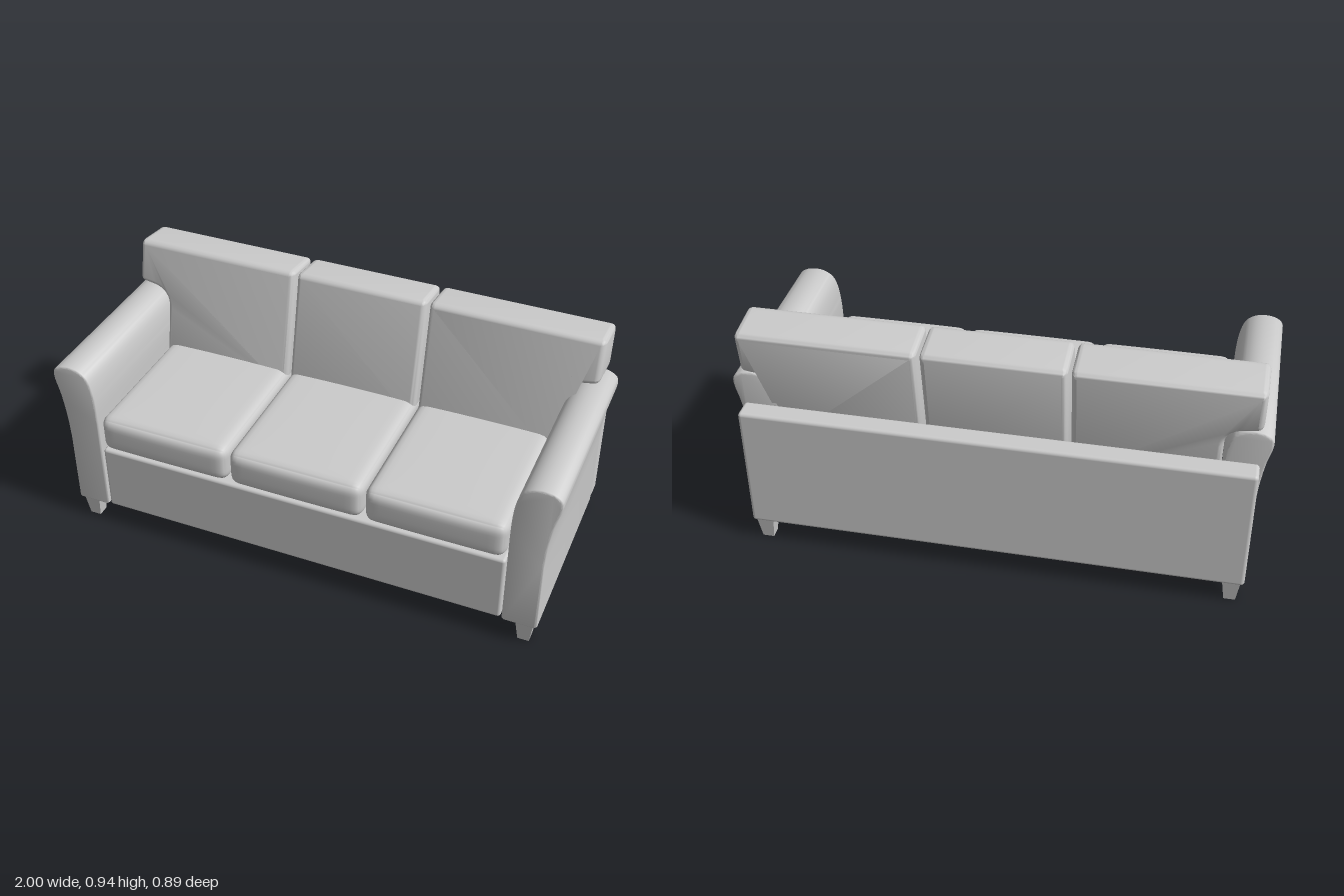
import * as THREE from 'three';
import { RoundedBoxGeometry } from 'three/addons/geometries/RoundedBoxGeometry.js';
import { mergeVertices, toCreasedNormals } from 'three/addons/utils/BufferGeometryUtils.js';

const material = new THREE.MeshStandardMaterial({ color: 0xcccccc, roughness: 0.85 });

function addMesh(group, name, geometry, x = 0, y = 0, z = 0) {
  const mesh = new THREE.Mesh(geometry, material);
  mesh.name = name;
  mesh.position.set(x, y, z);
  group.add(mesh);
  return mesh;
}

// Move every vertex of a geometry by a rule
function deform(geometry, rule) {
  const pos = geometry.attributes.position;
  const v = new THREE.Vector3();
  for (let i = 0; i < pos.count; i++) {
    rule(v.fromBufferAttribute(pos, i));
    pos.setXYZ(i, v.x, v.y, v.z);
  }
  return geometry;
}

// Soft padded block: rounded edges plus gently swelling faces
function paddedBox(w, h, d, r, swell) {
  let geo = new THREE.BoxGeometry(2, 2, 2, 22, 16, 22);
  geo.deleteAttribute('uv');
  geo.deleteAttribute('normal');
  geo = mergeVertices(geo);
  const half = new THREE.Vector3(w / 2, h / 2, d / 2);
  const core = half.clone().subScalar(r);
  const minCore = core.clone().negate();
  const inner = new THREE.Vector3();
  deform(geo, (v) => {
    const { x, y, z } = v;
    v.set(Math.sin(x * Math.PI / 2), Math.sin(y * Math.PI / 2), Math.sin(z * Math.PI / 2)).multiply(half);
    inner.copy(v).clamp(minCore, core);
    v.sub(inner).setLength(r).add(inner);
    v.y += swell * y * (1 - x * x) * (1 - z * z);
    v.z += swell * z * (1 - x * x) * (1 - y * y);
  });
  geo.computeVertexNormals();
  return geo;
}

// Closed outline from [x, y, cornerRadius] points, mirrored by side
function roundedOutline(points, side) {
  const shape = new THREE.Shape();
  const n = points.length;
  points.forEach(([x, y, r], i) => {
    const corner = new THREE.Vector2(x, y);
    const toward = ([px, py]) => new THREE.Vector2(px, py).sub(corner).setLength(r).add(corner);
    const a = toward(points[(i + n - 1) % n]);
    const b = toward(points[(i + 1) % n]);
    if (i === 0) shape.moveTo(a.x, a.y);
    else shape.lineTo(a.x, a.y);
    shape.quadraticCurveTo(x, y, b.x, b.y);
  });
  shape.closePath();
  return new THREE.Shape(shape.getPoints(8).map((p) => new THREE.Vector2(p.x * side, p.y)));
}

// Back cushion: bevelled slab, leaning back and thinner toward the top
function backCushion(shape) {
  const bevel = 0.035;
  const geo = new THREE.ExtrudeGeometry(shape, {
    depth: 1 - 2 * 0.16, bevelThickness: 0.16, bevelSize: bevel * 0.6,
    bevelOffset: -bevel * 0.6, bevelSegments: 5,
  });
  deform(geo, (v) => {
    const t = v.z + 0.16;
    const back = -0.395 + (0.945 - v.y) * 0.13;
    const front = -0.21 + (0.945 - v.y) * 0.22;
    v.z = THREE.MathUtils.lerp(back, front, t);
    v.y -= 0.025 * (1 - t);
  });
  return toCreasedNormals(geo, 0.7);
}

// Arm: straight-sided panel that flares outward into a rolled top
function armGeometry(side) {
  const outer = new THREE.SplineCurve([
    [0.96, 0.4], [0.966, 0.5], [0.98, 0.6], [0.997, 0.67], [0.995, 0.71], [0.965, 0.732],
    [0.92, 0.738], [0.88, 0.727], [0.851, 0.7], [0.835, 0.65], [0.827, 0.58], [0.825, 0.5],
  ].map(([x, y]) => new THREE.Vector2(x, y)));
  const points = [
    new THREE.Vector2(0.825, 0.1), new THREE.Vector2(0.833, 0.092),
    new THREE.Vector2(0.952, 0.092), new THREE.Vector2(0.96, 0.1),
    ...outer.getPoints(48),
  ].map((p) => p.set(p.x * side, p.y));
  const geo = new THREE.ExtrudeGeometry(new THREE.Shape(points), {
    depth: 0.77, bevelThickness: 0.01, bevelSize: 0.008, bevelOffset: -0.008, bevelSegments: 3,
  });
  geo.translate(0, 0, -0.345);
  return toCreasedNormals(geo, 0.7);
}

// Leg: square peg narrowing toward the floor
function legGeometry() {
  const geo = new THREE.CylinderGeometry(0.068 / Math.SQRT2, 0.044 / Math.SQRT2, 0.095, 4).toNonIndexed();
  geo.rotateY(Math.PI / 4);
  geo.computeVertexNormals();
  return geo;
}

export function createModel() {
  const sofa = new THREE.Group();
  sofa.name = 'sofa';

  // Frame
  addMesh(sofa, 'base', new RoundedBoxGeometry(1.64, 0.282, 0.785, 4, 0.012), 0, 0.235, 0.0385);
  addMesh(sofa, 'backPanel', new RoundedBoxGeometry(1.918, 0.518, 0.086, 4, 0.014), 0, 0.351, -0.402);

  // Seat cushions
  for (const [i, name] of ['rightSeatCushion', 'middleSeatCushion', 'leftSeatCushion'].entries()) {
    addMesh(sofa, name, paddedBox(0.54, 0.152, 0.74, 0.04, 0.007), (i - 1) * 0.547, 0.457, 0.068);
  }

  // Back cushions: a plain one in the middle, winged ones over the arms
  const middle = [[-0.267, 0.45, 0.02], [0.267, 0.45, 0.02], [0.267, 0.947, 0.022], [-0.267, 0.947, 0.022]];
  const winged = [
    [0.279, 0.45, 0.02], [0.823, 0.45, 0.02], [0.826, 0.755, 0.07],
    [0.957, 0.775, 0.022], [0.957, 0.947, 0.022], [0.279, 0.947, 0.022],
  ];
  addMesh(sofa, 'middleBackCushion', backCushion(roundedOutline(middle, 1)));

  for (const [side, label] of [[1, 'left'], [-1, 'right']]) {
    addMesh(sofa, label + 'BackCushion', backCushion(roundedOutline(winged, side)));
    addMesh(sofa, label + 'Arm', armGeometry(side));
    addMesh(sofa, label + 'FrontLeg', legGeometry(), side * 0.911, 0.0475, 0.39);
    addMesh(sofa, label + 'BackLeg', legGeometry(), side * 0.911, 0.0475, -0.4);
  }
  return sofa;
}
